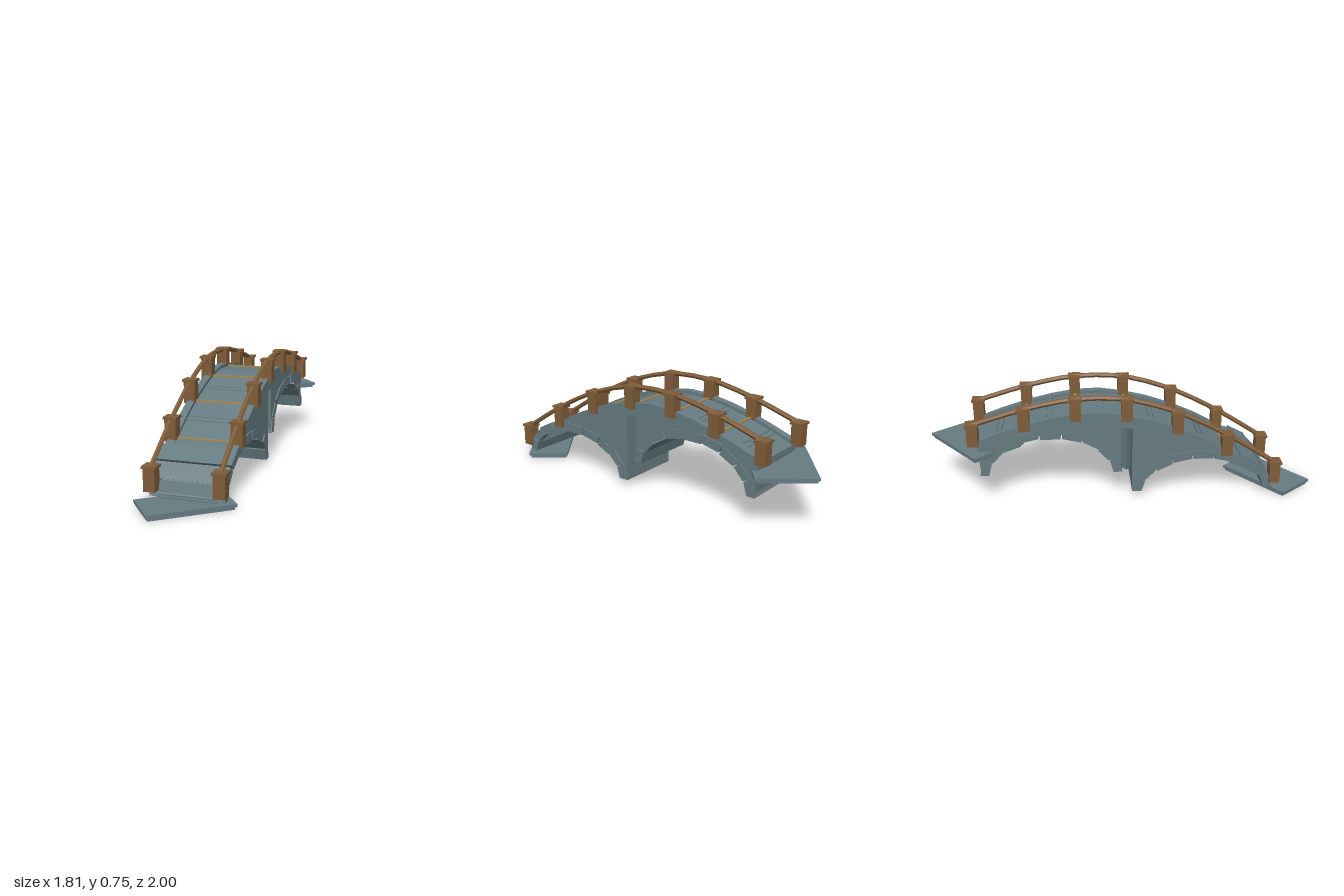
import * as THREE from 'three';

const mat = (name, color) => {
  const m = new THREE.MeshStandardMaterial({ color, flatShading: true });
  m.name = name;
  return m;
};

// Piecewise-linear height lookup: table of [s, y]
const lookup = (table) => (s) => {
  if (s <= table[0][0]) return table[0][1];
  for (let i = 1; i < table.length; i++) {
    const [a, ya] = table[i - 1], [b, yb] = table[i];
    if (s <= b) return ya + ((yb - ya) * (s - a)) / (b - a);
  }
  return table[table.length - 1][1];
};

export function createModel() {
  const stone = mat('blue grey stone', 0x667b81);
  const wood = mat('brown wood', 0x7f5c38);
  const trim = mat('tan wood', 0xa88850);

  const model = new THREE.Group();
  model.name = 'archBridge';
  const span = new THREE.Group(); // local x runs along the bridge, z across it
  span.name = 'span';
  span.rotation.y = 0.906;
  model.add(span);

  const add = (parent, name, geo, material, x = 0, y = 0, z = 0) => {
    const m = new THREE.Mesh(geo, material);
    m.name = name;
    m.position.set(x, y, z);
    parent.add(m);
    return m;
  };
  const extrude = (points, depth) => {
    const shape = new THREE.Shape(points.map(([x, y]) => new THREE.Vector2(x, y)));
    const g = new THREE.ExtrudeGeometry(shape, { depth, bevelEnabled: false });
    return g.translate(0, 0, -depth / 2);
  };

  // Heights along the bridge: parapet top and walking surface
  const wallTop = lookup([[-1.01, 0.125], [-0.85, 0.235], [-0.68, 0.34], [-0.51, 0.435], [-0.34, 0.51],
    [-0.17, 0.57], [0, 0.612], [0.17, 0.637], [0.34, 0.632], [0.51, 0.604], [0.68, 0.562], [0.85, 0.508], [1.01, 0.45]]);
  const deckTop = lookup([[-1.01, 0.06], [-0.94, 0.15], [-0.86, 0.19], [-0.8, 0.25], [-0.68, 0.318],
    [-0.51, 0.41], [-0.34, 0.485], [-0.17, 0.545], [0, 0.592], [0.17, 0.615], [0.34, 0.608],
    [0.51, 0.582], [0.68, 0.54], [0.85, 0.486], [1.01, 0.425]]);

  // Arches: centre, base height, inner half span and rise, ring thickness
  const arches = [
    { c: -0.525, base: 0.045, rx: 0.425, ry: 0.24, t: 0.06 },
    { c: 0.51, base: 0.2, rx: 0.415, ry: 0.265, t: 0.06 },
  ];
  const arcPoint = (a, angle, grow) => [
    a.c + Math.cos(angle) * (a.rx + grow),
    a.base + Math.sin(angle) * (a.ry + grow),
  ];

  // Solid outline under a top line, with both arches and the pier gap cut out
  const outline = (top) => {
    const pts = [];
    for (let i = 0; i <= 48; i++) {
      const s = -1.0 + (i / 48) * 2.0;
      pts.push([s, top(s)]);
    }
    const arc = (a) => {
      for (let i = 0; i <= 18; i++) pts.push(arcPoint(a, (i / 18) * Math.PI, 0.025));
    };
    pts.push([0.98, 0.2]);
    arc(arches[1]);
    pts.push([0.04, 0.2], [0.04, 0.52], [-0.035, 0.52], [-0.035, 0.045]);
    arc(arches[0]);
    pts.push([-1.0, 0.045]);
    return pts.reverse();
  };
  add(span, 'core', extrude(outline((s) => deckTop(s) - 0.012), 0.37), stone);
  for (const side of [-1, 1])
    add(span, 'sideWall', extrude(outline(wallTop), 0.05), stone, 0, 0, side * 0.205);

  // Arch rings made of wedge stones running the full width
  arches.forEach((a, k) => {
    const n = 9;
    for (let i = 0; i < n; i++) {
      const a0 = (i / n) * Math.PI + 0.012, a1 = ((i + 1) / n) * Math.PI - 0.012;
      const wobble = 0.006 * Math.sin(i * 2.3 + k);
      const pts = [
        arcPoint(a, a0, wobble), arcPoint(a, a0, a.t + wobble),
        arcPoint(a, a1, a.t + wobble), arcPoint(a, a1, wobble),
      ];
      add(span, 'archStone', extrude(pts, 0.476 + wobble), stone);
    }
  });

  // Pointed pillar recessed in the gap between the arches
  const pillar = new THREE.Shape([[-0.035, -0.1], [0, -0.15], [0.035, -0.1], [0.035, 0.1], [0, 0.15], [-0.035, 0.1]]
    .map(([x, y]) => new THREE.Vector2(x, y)));
  const pillarGeo = new THREE.ExtrudeGeometry(pillar, { depth: 0.36, bevelEnabled: false }).rotateX(-Math.PI / 2);
  add(span, 'centrePillar', pillarGeo, stone, 0, 0.17, 0);

  // Deck slabs laid along the walking surface
  const slab = (s0, s1) => {
    const y0 = deckTop(s0), y1 = deckTop(s1);
    add(span, 'deckSlab', extrude([[s0, y0 - 0.03], [s1, y1 - 0.03], [s1, y1], [s0, y0]], 0.37), stone);
  };
  const steps = [-1.005, -0.94, -0.86, -0.8, -0.68];
  for (let i = 0; i < 4; i++) slab(steps[i], steps[i + 1] - 0.004);
  for (let b = 1; b < 6; b++) {
    const s = -1.02 + b * 0.34;
    const end = Math.min(s + 0.334, 1.0);
    slab(s + 0.006, s + 0.15);
    slab(s + 0.156, s + 0.186);
    slab(s + 0.192, end);
    // Thin cross strip at each pair of posts
    add(span, 'crossStrip', new THREE.BoxGeometry(0.014, 0.02, 0.37), trim, s, deckTop(s), 0);
  }

  // Posts with caps, and the handrails joining them
  const postTops = [0.243, 0.46, 0.633, 0.735, 0.745, 0.683, 0.583];
  for (const side of [-1, 1]) {
    const z = side * 0.216;
    const path = [];
    postTops.forEach((top, i) => {
      const s = -1.02 + i * 0.34;
      const post = new THREE.Group();
      post.name = 'post';
      post.position.set(s, top, z);
      add(post, 'postBody', new THREE.BoxGeometry(0.074, 0.145, 0.074), wood, 0, -0.0845, 0);
      add(post, 'postCap', new THREE.BoxGeometry(0.09, 0.016, 0.09), wood, 0, -0.008, 0);
      span.add(post);
      path.push(new THREE.Vector3(s, top - 0.012, z));
    });
    const curve = new THREE.CatmullRomCurve3(path);
    add(span, 'handrail', new THREE.TubeGeometry(curve, 18, 0.017, 6), wood);
  }

  // Two-layer landing plates, square to the main axes
  const landing = (name, x0, x1, z0, z1, y0, y1) => {
    const g = new THREE.Group();
    g.name = name;
    const h = (y1 - y0) / 2, w = x1 - x0, d = z1 - z0;
    g.position.set((x0 + x1) / 2, y0, (z0 + z1) / 2);
    add(g, 'upperPlate', new THREE.BoxGeometry(w, h, d), stone, 0, h * 1.5, 0);
    add(g, 'lowerPlate', new THREE.BoxGeometry(w - 0.024, h, d - 0.024), stone, 0, h / 2, 0);
    model.add(g);
  };
  landing('frontLanding', -0.907, -0.36, 0.655, 0.945, 0, 0.038);
  landing('backLanding', 0.355, 0.905, -1.0, -0.61, 0.345, 0.381);

  return model;
}
